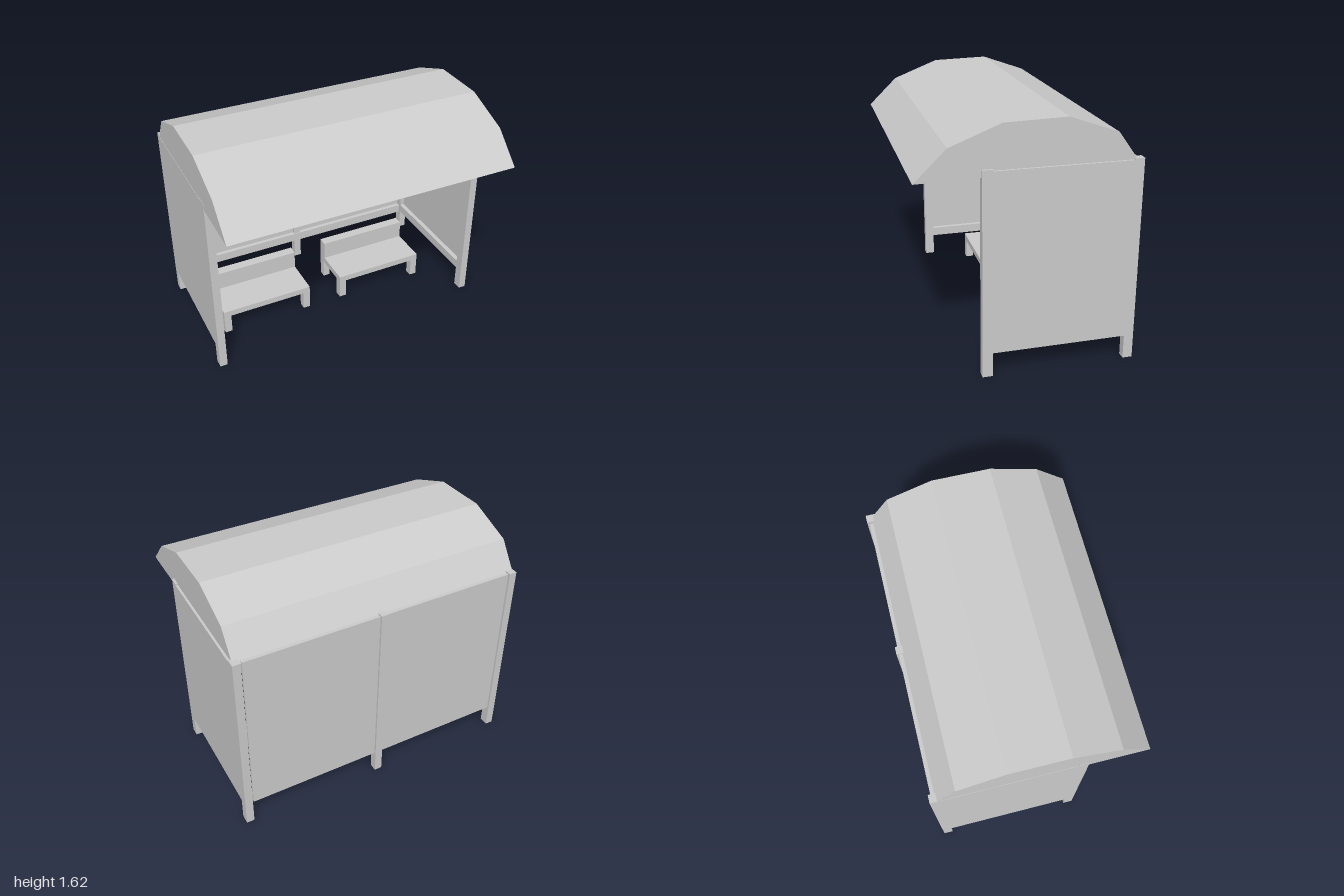
import * as THREE from 'three';

const material = new THREE.MeshStandardMaterial({ color: 0xcccccc, flatShading: true });
const shellMaterial = new THREE.MeshStandardMaterial({ color: 0xcccccc, flatShading: true, side: THREE.DoubleSide });

// Box given by its extents on each axis
function box(parent, name, [x0, x1], [y0, y1], [z0, z1]) {
  const mesh = new THREE.Mesh(new THREE.BoxGeometry(x1 - x0, y1 - y0, z1 - z0), material);
  mesh.position.set((x0 + x1) / 2, (y0 + y1) / 2, (z0 + z1) / 2);
  mesh.name = name;
  parent.add(mesh);
}

// Folded roof sheet with closed gable ends, open underneath
function makeRoof() {
  const roof = new THREE.Group();
  roof.name = 'roof';
  const profile = [[0.69, 1.285], [0.49, 1.48], [0.17, 1.605], [-0.22, 1.615], [-0.53, 1.505], [-0.67, 1.31]];
  const left = 0.985, right = -0.998;
  const positions = [];
  for (let i = 0; i < profile.length - 1; i++) {
    const [z0, y0] = profile[i], [z1, y1] = profile[i + 1];
    const a = [right, y0, z0], b = [left, y0, z0], c = [left, y1, z1], d = [right, y1, z1];
    positions.push(...a, ...b, ...c, ...a, ...c, ...d);
  }
  const geometry = new THREE.BufferGeometry();
  geometry.setAttribute('position', new THREE.Float32BufferAttribute(positions, 3));
  geometry.computeVertexNormals();
  const sheet = new THREE.Mesh(geometry, shellMaterial);
  sheet.name = 'roofSheet';
  roof.add(sheet);

  const outline = new THREE.Shape(profile.map(([z, y]) => new THREE.Vector2(-z, y)));
  for (const x of [left, right]) {
    const gable = new THREE.Mesh(new THREE.ShapeGeometry(outline), shellMaterial);
    gable.rotation.y = Math.PI / 2;
    gable.position.x = x;
    gable.name = 'roofGable';
    roof.add(gable);
  }
  return roof;
}

// Low bench with four legs and a short backrest
function makeBench(x0, x1) {
  const bench = new THREE.Group();
  bench.name = 'bench';
  box(bench, 'seat', [x0, x1], [0.14, 0.185], [-0.355, -0.015]);
  box(bench, 'backrest', [x0, x1], [0.185, 0.32], [-0.355, -0.285]);
  for (const x of [x0, x1 - 0.052])
    for (const z of [-0.355, -0.07])
      box(bench, 'benchLeg', [x, x + 0.052], [0, 0.14], [z, z + 0.055]);
  return bench;
}

export function createModel() {
  const model = new THREE.Group();
  model.name = 'shelter';

  // Posts
  for (const x of [-1, 0.947]) {
    box(model, 'backPost', [x, x + 0.053], [0, 1.34], [-0.695, -0.632]);
    box(model, 'frontPost', [x, x + 0.053], [0, 1.34], [0.23, 0.295]);
  }
  box(model, 'middlePost', [-0.03, 0.023], [0, 1.34], [-0.695, -0.64]);

  // Back wall: panel with rails on the inside
  const backWall = new THREE.Group();
  backWall.name = 'backWall';
  box(backWall, 'backPanel', [-0.95, 0.935], [0.155, 1.33], [-0.68, -0.665]);
  // Side walls: panels flush with the outside of the posts
  const sideWalls = new THREE.Group();
  sideWalls.name = 'sideWalls';
  for (const s of [-1, 1])
    box(sideWalls, 'sidePanel', [s * 0.99 - 0.01, s * 0.99 + 0.01], [0.16, 1.33], [-0.632, 0.23]);

  // Bottom and top rails of all walls
  for (const y of [[0.155, 0.22], [1.27, 1.33]]) {
    box(backWall, 'backRail', [-0.95, 0.935], y, [-0.665, -0.635]);
    for (const s of [-1, 1])
      box(sideWalls, 'sideRail', [s * 0.9635 - 0.0165, s * 0.9635 + 0.0165], y, [-0.632, 0.23]);
  }
  model.add(backWall, sideWalls);

  model.add(makeBench(-0.85, -0.18), makeBench(0.07, 0.74), makeRoof());
  return model;
}
